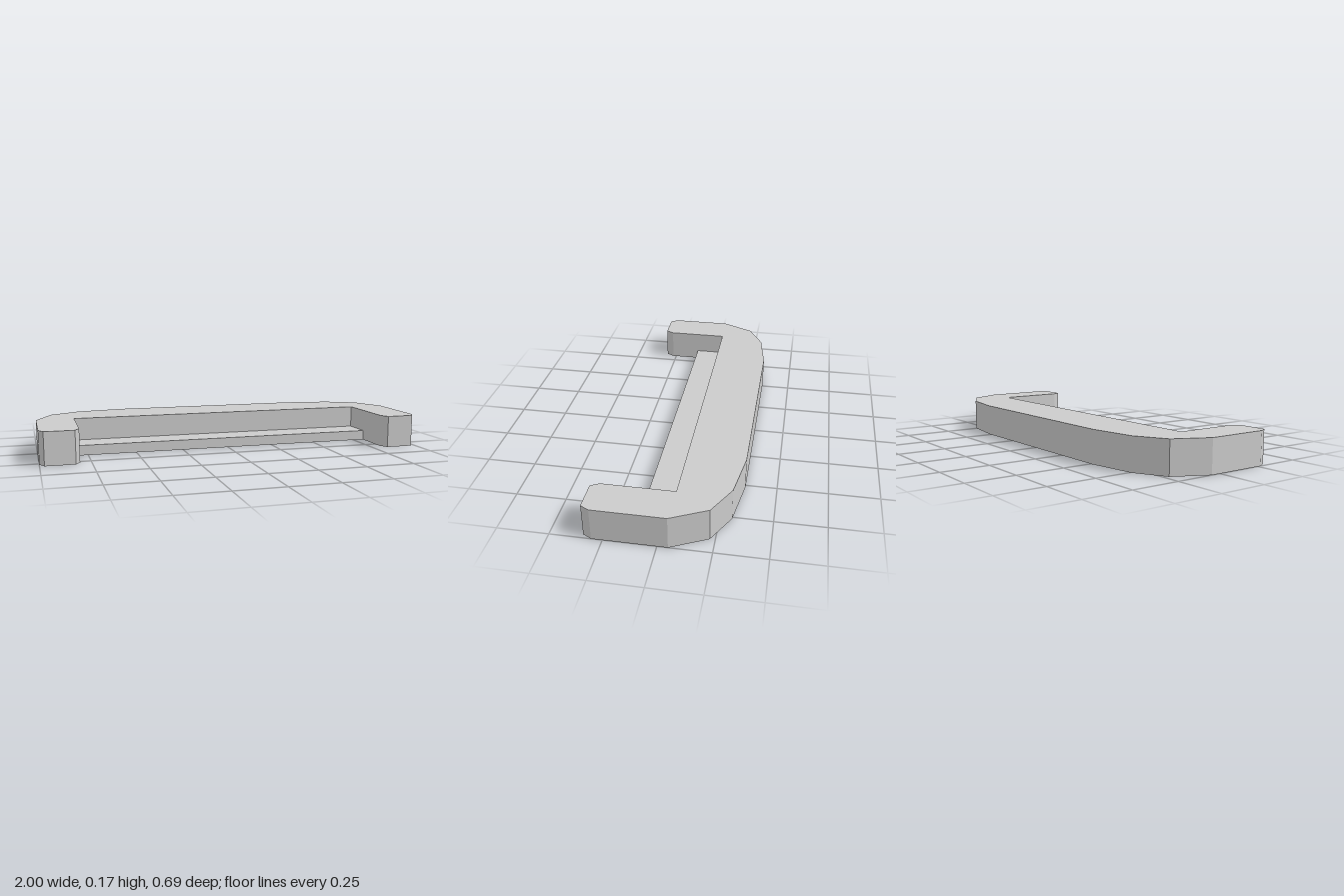
import * as THREE from 'three';

const HEIGHT = 0.168;
const LEDGE_HEIGHT = 0.052;

// Extrudes a plan outline of [x, z] points upward from y = 0.
function slab(name, outline, height, material) {
  const shape = new THREE.Shape(outline.map(([x, z]) => new THREE.Vector2(x, z)));
  const geometry = new THREE.ExtrudeGeometry(shape, { depth: height, bevelEnabled: false });
  geometry.rotateX(Math.PI / 2).translate(0, height, 0);
  const mesh = new THREE.Mesh(geometry, material);
  mesh.name = name;
  return mesh;
}

export function createModel() {
  const group = new THREE.Group();
  group.name = 'bracket';
  const material = new THREE.MeshStandardMaterial({ color: 0xcccccc, flatShading: true });

  const innerLeft = 0.81, innerRight = -0.805, innerBack = -0.055;

  // Faceted rear corner, mirrored to both sides
  const corner = [[1, -0.05], [0.915, -0.225], [0.76, -0.308], [0.515, -0.345]];
  const mirrored = corner.map(([x, z]) => [-x, z]).reverse();

  // Arm tip with chamfered corners, from its inner side to its outer side
  const tip = (inner, outer, end) => {
    const c = 0.023 * Math.sign(outer);
    return [[inner, end - 0.043], [inner + c, end], [outer - c, end], [outer, end - 0.043]];
  };

  // U-shaped frame: the left arm is slightly longer than the right
  const frame = [
    [innerRight, innerBack], [innerLeft, innerBack],
    ...tip(innerLeft, 1, 0.345),
    ...corner, ...mirrored,
    ...tip(innerRight, -1, 0.312).reverse(),
  ];
  group.add(slab('frame', frame, HEIGHT, material));

  // Thin ledge between the arms
  const ledge = [[innerRight, innerBack], [innerLeft, innerBack], [innerLeft, 0.105], [innerRight, 0.105]];
  group.add(slab('ledge', ledge, LEDGE_HEIGHT, material));

  return group;
}
